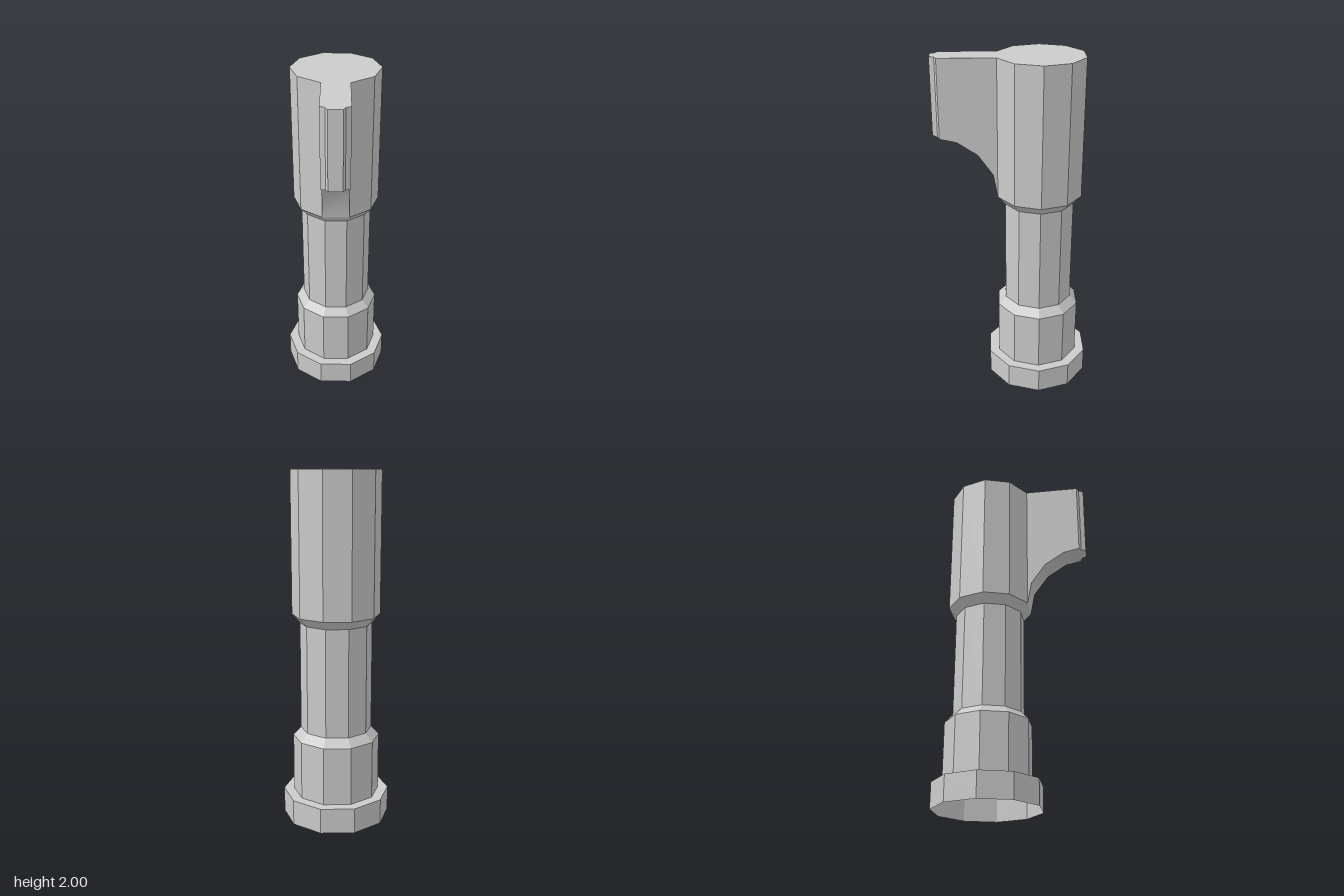
import * as THREE from 'three';
import { toCreasedNormals } from 'three/addons/utils/BufferGeometryUtils.js';

const SIDES = 10;
const BODY_Z = -0.152;
const BODY_R = 0.25;

// Ten-sided hollow shell, open at the bottom and closed at the top
function createBody(material) {
  const profile = [
    [0.309, 0], [0.309, 0.147],                     // foot collar
    [BODY_R, 0.147], [BODY_R, 0.485],               // lower sleeve
    [0.205, 0.532], [0.205, 1.155],                 // neck
    [BODY_R, 1.205], [BODY_R, 2], [0, 2],           // head and top cap
  ].map(([r, y]) => new THREE.Vector2(r, y));
  const geometry = new THREE.LatheGeometry(profile, SIDES, Math.PI / SIDES);
  const body = new THREE.Mesh(geometry, material);
  body.name = 'body';
  body.position.z = BODY_Z;
  return body;
}

// Upright fin lofted from rectangular sections along z
function createFin(material) {
  const half = BODY_R * Math.sin(Math.PI / SIDES);
  const root = BODY_Z + BODY_R * Math.cos(Math.PI / SIDES);
  // z, half width, underside height
  const sections = [
    [root, half, 1.205], [0.11, half, 1.34], [0.195, half, 1.46],
    [0.31, half, 1.535], [0.403, half, 1.555],
    [0.415, 0.05, 1.558], [0.443, 0.038, 1.564],
  ];
  const positions = [];
  const index = [];
  sections.forEach(([z, w, y], i) => {
    positions.push(-w, y, z, w, y, z, w, 2, z, -w, 2, z);
    if (i === 0) return;
    const a = (i - 1) * 4, b = i * 4;
    for (let j = 0; j < 4; j++) {
      const k = (j + 1) % 4;
      index.push(a + j, a + k, b + k, a + j, b + k, b + j);
    }
  });
  // narrow front edge
  const e = (sections.length - 1) * 4;
  index.push(e, e + 1, e + 2, e, e + 2, e + 3);

  const geometry = new THREE.BufferGeometry();
  geometry.setAttribute('position', new THREE.Float32BufferAttribute(positions, 3));
  geometry.setIndex(index);
  const fin = new THREE.Mesh(toCreasedNormals(geometry, 0.55), material);
  fin.name = 'fin';
  return fin;
}

export function createModel() {
  const group = new THREE.Group();
  group.name = 'finnedPost';
  const shell = new THREE.MeshStandardMaterial({
    color: 0xcccccc, flatShading: true, side: THREE.DoubleSide,
  });
  const solid = new THREE.MeshStandardMaterial({ color: 0xcccccc });
  group.add(createBody(shell), createFin(solid));
  return group;
}
